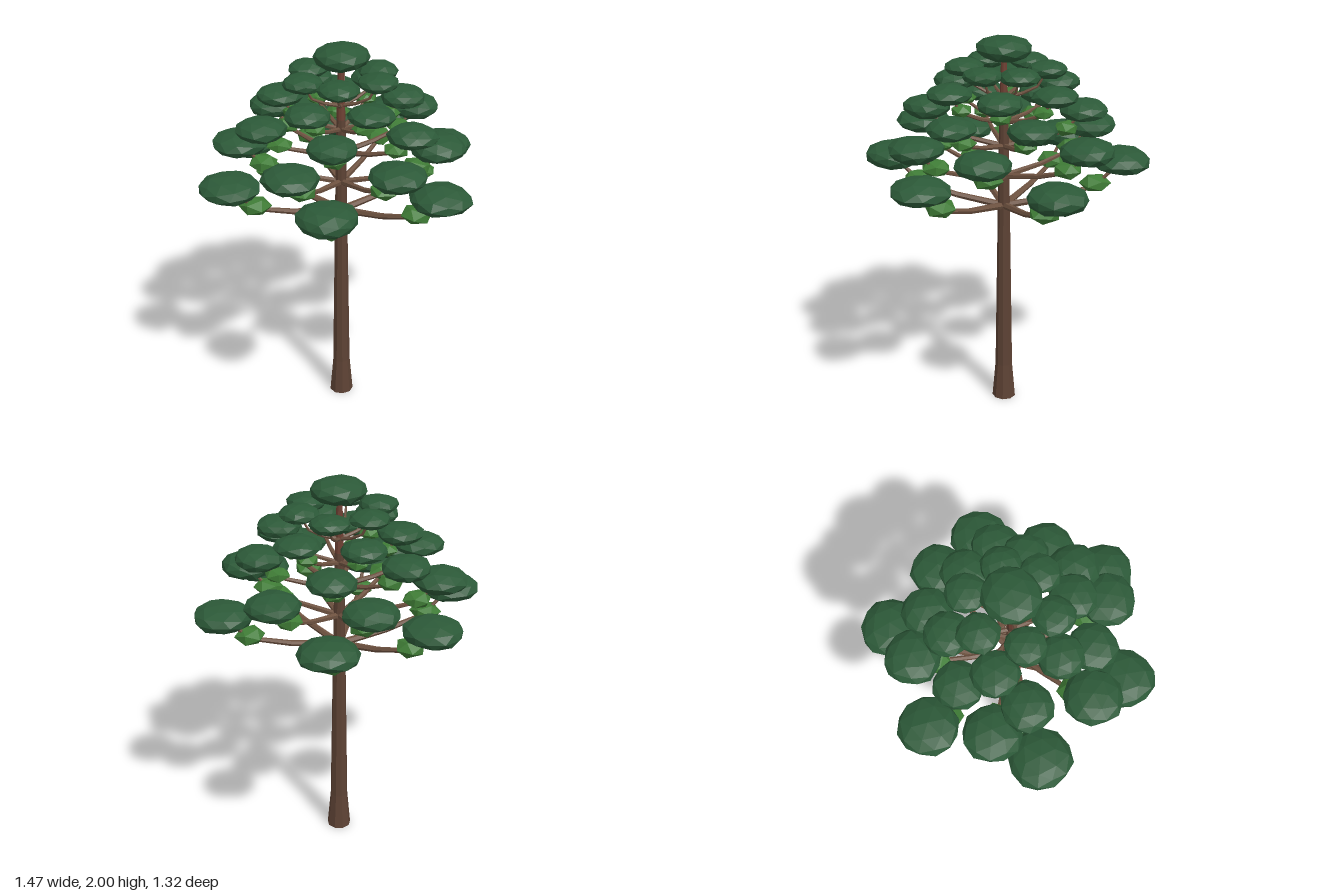
import * as THREE from 'three';

const mat = (name, color) => {
  const m = new THREE.MeshStandardMaterial({ color, flatShading: true });
  m.name = name;
  return m;
};

export function createModel() {
  const bark = mat('bark brown', 0x5d4234);
  const upperBark = mat('reddish upper bark', 0x6e4033);
  const branchBark = mat('branch brown', 0x6e5240);
  const needles = mat('dark needle green', 0x2c5938);
  const freshNeedles = mat('fresh needle green', 0x3f7c36);

  const tree = new THREE.Group();
  tree.name = 'tree';
  const CX = -0.008; // trunk axis

  const add = (name, geometry, material, parent = tree) => {
    const mesh = new THREE.Mesh(geometry, material);
    mesh.name = name;
    parent.add(mesh);
    return mesh;
  };

  // Smooth wobble by position keeps shared corners together
  const clump = (detail, seed, wobble) => {
    const g = new THREE.IcosahedronGeometry(1, detail);
    const p = g.attributes.position;
    const v = new THREE.Vector3();
    for (let i = 0; i < p.count; i++) {
      v.fromBufferAttribute(p, i);
      const n = Math.sin(v.x * 5.1 + seed * 1.7) + Math.sin(v.y * 4.3 + seed * 2.9) + Math.sin(v.z * 5.7 + seed * 4.1);
      v.multiplyScalar(1 + wobble * n / 3);
      p.setXYZ(i, v.x, v.y, v.z);
    }
    g.computeVertexNormals();
    return g;
  };

  // Tapered limb between two points
  const UP = new THREE.Vector3(0, 1, 0);
  const limb = (a, b, r0, r1, parent) => {
    const d = b.clone().sub(a);
    const m = add('branchSegment', new THREE.CylinderGeometry(r1, r0, d.length(), 6), branchBark, parent);
    m.position.copy(a).addScaledVector(d, 0.5);
    m.quaternion.setFromUnitVectors(UP, d.normalize());
  };

  // Trunk: flared foot, long shaft, reddish leader
  const trunkPart = (name, y0, y1, r0, r1, material) => {
    add(name, new THREE.CylinderGeometry(r1, r0, y1 - y0, 9), material).position.set(CX, (y0 + y1) / 2, 0);
  };
  trunkPart('trunkFoot', 0, 0.2, 0.063, 0.046, bark);
  trunkPart('trunkShaft', 0.2, 1.3, 0.046, 0.029, bark);
  trunkPart('trunkUpper', 1.3, 1.62, 0.029, 0.023, bark);
  trunkPart('trunkLeader', 1.62, 1.93, 0.023, 0.013, upperBark);

  // Whorls: pad height, pad radius, half height, branch root height, fresh clump size, pad centres [x, z]
  const whorls = [
    { y: 1.365, r: 0.15, h: 0.066, root: 1.12, fresh: 0.08,
      at: [[-0.58, 0.015], [-0.36, -0.48], [0.29, -0.52], [0.585, 0.05], [0.25, 0.51], [-0.325, 0.50]] },
    { y: 1.5, r: 0.14, h: 0.062, root: 1.28, fresh: 0.077,
      at: [[-0.02, -0.485], [0.03, 0.49], [-0.42, -0.25], [-0.42, 0.28], [0.43, -0.2], [0.44, 0.2]] },
    { y: 1.63, r: 0.123, h: 0.056, root: 1.44, fresh: 0.066,
      at: [[-0.24, -0.32], [0.22, -0.33], [0.40, 0.01], [0.17, 0.345], [-0.245, 0.335], [-0.39, 0.04]] },
    { y: 1.742, r: 0.114, h: 0.05, root: 1.565, fresh: 0.058,
      at: [[-0.01, -0.30], [0.245, -0.16], [0.25, 0.14], [0, 0.30], [-0.265, 0.15], [-0.28, -0.14]] },
    { y: 1.842, r: 0.1, h: 0.043, root: 1.69, fresh: 0,
      at: [[-0.11, -0.19], [0.10, -0.17], [0.19, -0.02], [0.09, 0.17], [-0.105, 0.18], [-0.205, -0.01]] },
  ];

  let seed = 1;
  whorls.forEach((w, level) => {
    const group = new THREE.Group();
    group.name = `whorl${level + 1}`;
    tree.add(group);
    const thick = 0.019 - level * 0.002;
    w.at.forEach(([x, z]) => {
      seed++;
      const rise = w.y - w.root;
      const along = (t, k) => new THREE.Vector3(CX + (x - CX) * t, w.root + rise * k, z * t);

      // Bent branch: shallow near the trunk, steep at the tip
      const path = [along(0, 0), along(0.43, 0.18), along(0.77, 0.42), along(0.98, 0.92)];
      for (let i = 0; i < 3; i++) {
        limb(path[i], path[i + 1], thick * (1 - i * 0.2), thick * (0.8 - i * 0.2), group);
      }

      const pad = add('foliagePad', clump(1, seed, 0.07), needles, group);
      pad.position.set(x, w.y, z);
      pad.scale.set(w.r, w.h, w.r);
      pad.rotation.y = seed * 1.3;

      if (w.fresh) {
        const bud = add('freshClump', clump(0, seed, 0.08), freshNeedles, group);
        bud.position.copy(along(0.78, 0.5));
        bud.scale.set(w.fresh, w.fresh * 0.58, w.fresh);
        bud.rotation.y = seed * 0.9;
      }
    });
  });

  // Crown pad
  const crown = add('crownPad', clump(1, 4, 0.05), needles);
  crown.position.set(-0.005, 1.939, -0.005);
  crown.scale.set(0.138, 0.061, 0.145);

  return tree;
}
